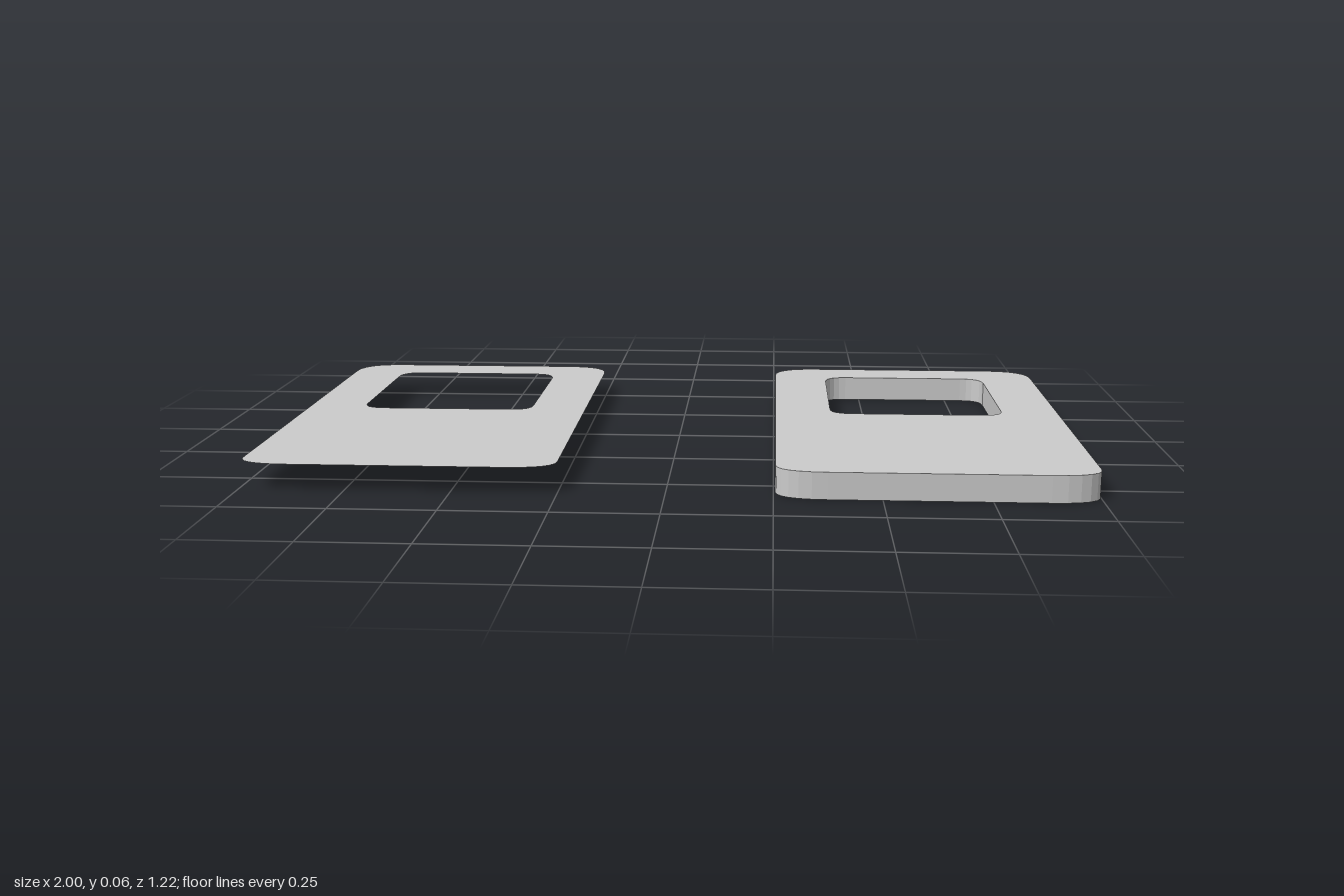
import * as THREE from 'three';

const THICKNESS = 0.065;

// Rectangle with softly curved corners, drawn in (x, -z); each end has its own corner depth
function softRect(path, x0, x1, zBack, zFront, rx, rBack, rFront) {
  const top = -zBack, bottom = -zFront;
  path.moveTo(x0 + rx, bottom);
  path.lineTo(x1 - rx, bottom);
  path.quadraticCurveTo(x1, bottom, x1, bottom + rFront);
  path.lineTo(x1, top - rBack);
  path.quadraticCurveTo(x1, top, x1 - rx, top);
  path.lineTo(x0 + rx, top);
  path.quadraticCurveTo(x0, top, x0, top - rBack);
  path.lineTo(x0, bottom + rFront);
  path.quadraticCurveTo(x0, bottom, x0 + rx, bottom);
  return path;
}

// Plate outline with its window, centred on the given x
function plateShape(cx) {
  const shape = softRect(new THREE.Shape(), cx - 0.373, cx + 0.373, -0.612, 0.612, 0.12, 0.1, 0.06);
  shape.holes.push(softRect(new THREE.Path(), cx - 0.227, cx + 0.227, -0.487, -0.003, 0.06, 0.06, 0.05));
  return shape;
}

export function createModel() {
  const group = new THREE.Group();

  // Solid plate with a window cut through it
  const solid = new THREE.ExtrudeGeometry(plateShape(0.627), {
    depth: THICKNESS, bevelEnabled: false, curveSegments: 6,
  });
  solid.rotateX(-Math.PI / 2);
  const plate = new THREE.Mesh(solid, new THREE.MeshStandardMaterial({ color: 0xcccccc }));
  plate.name = 'solidPlate';

  // Paper-thin plate, level with the top of the solid one
  const flat = new THREE.ShapeGeometry(plateShape(-0.627), 6);
  flat.rotateX(-Math.PI / 2);
  flat.translate(0, THICKNESS, 0);
  const sheet = new THREE.Mesh(flat, new THREE.MeshStandardMaterial({ color: 0xcccccc, side: THREE.DoubleSide }));
  sheet.name = 'flatSheet';

  group.add(plate, sheet);
  return group;
}
